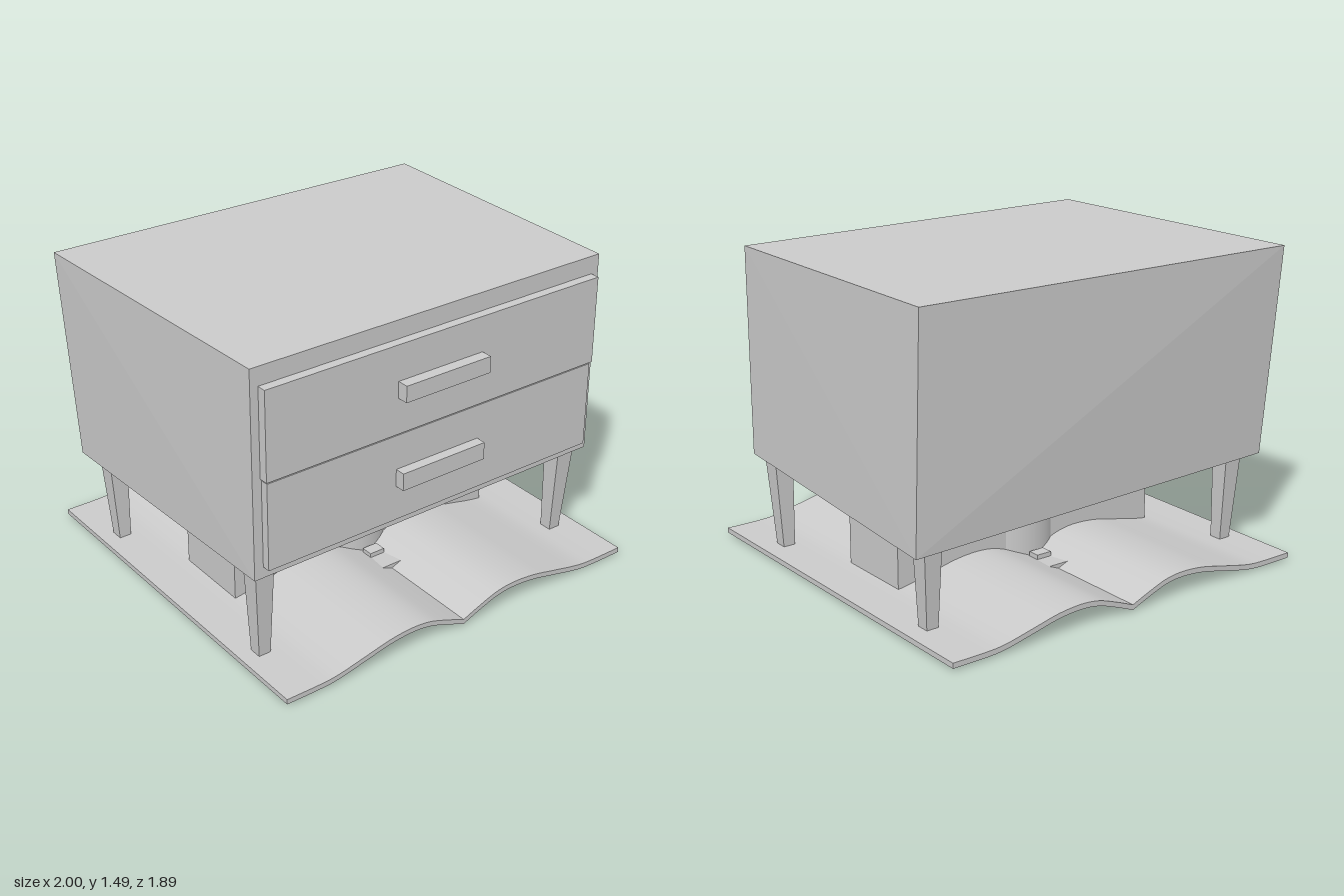
import * as THREE from 'three';
import { toCreasedNormals } from 'three/addons/utils/BufferGeometryUtils.js';
import { ConvexGeometry } from 'three/addons/geometries/ConvexGeometry.js';

const material = new THREE.MeshStandardMaterial({ color: 0xcccccc });

export function createModel() {
  const model = new THREE.Group();
  model.name = 'bedsideCabinet';

  const add = (name, geometry) => {
    const mesh = new THREE.Mesh(geometry, material);
    mesh.name = name;
    model.add(mesh);
    return mesh;
  };

  // Box given by its limits on each axis
  const block = (name, [x0, x1], [y0, y1], [z0, z1]) => {
    const mesh = add(name, new THREE.BoxGeometry(x1 - x0, y1 - y0, z1 - z0));
    mesh.position.set((x0 + x1) / 2, (y0 + y1) / 2, (z0 + z1) / 2);
    return mesh;
  };

  // Flat-sided solid spanned by its corners
  const hull = (name, corners) =>
    add(name, new ConvexGeometry(corners.map((c) => new THREE.Vector3(...c))));

  // Cabinet body, skewed towards the back
  hull('cabinetBody', [
    [-0.945, 0.485, 0.69], [0.96, 0.485, 0.69], [0.96, 1.485, 0.69], [-0.945, 1.485, 0.69],
    [-0.975, 0.47, -0.72], [1.0, 0.415, -0.715], [0.985, 1.485, -0.74], [-1.0, 1.485, -0.795],
  ]);

  // Drawer fronts and handles
  block('upperDrawer', [-0.905, 0.92], [0.97, 1.397], [0.68, 0.735]);
  block('upperHandle', [-0.225, 0.24], [1.145, 1.225], [0.73, 0.79]);
  block('lowerDrawer', [-0.9, 0.91], [0.54, 0.962], [0.68, 0.73]);
  block('lowerHandle', [-0.225, 0.235], [0.71, 0.795], [0.725, 0.78]);

  // Tapered legs with upright inner faces
  for (const sx of [-1, 1]) {
    for (const sz of [-1, 1]) {
      const corners = [];
      for (const [y, x0, x1, z0, z1] of [[0, 0.83, 0.888, 0.563, 0.624], [0.5, 0.823, 0.92, 0.563, 0.658]]) {
        for (const x of [x0, x1]) for (const z of [z0, z1]) corners.push([sx * x, y, sz * z]);
      }
      hull((sz > 0 ? 'front' : 'back') + (sx > 0 ? 'Left' : 'Right') + 'Leg', corners);
    }
  }

  // Pedestal under the cabinet: long block with a round core
  block('pedestalBlock', [-0.73, 0.745], [0, 0.46], [-0.195, 0.2]);
  const core = add('pedestalCore', new THREE.CylinderGeometry(0.237, 0.237, 0.44, 48));
  core.position.set(0.005, 0.24, 0);

  // Cross feet, rising slightly towards their ends, with small stops
  for (const s of [-1, 1]) {
    const corners = [];
    for (const x of [-0.18, 0.19]) {
      corners.push([x, 0, 0], [x, 0.028, 0], [x, 0, s * 0.425], [x, 0.052, s * 0.425]);
    }
    hull(s > 0 ? 'frontCrossFoot' : 'backCrossFoot', corners);
    block(s > 0 ? 'frontStop' : 'backStop', [-0.035, 0.045], [0, 0.068], [s * 0.285 - 0.03, s * 0.285 + 0.03]);
  }

  // Rug: thin sheet with two soft waves meeting in a valley
  const half = [[0.975, 0.035], [0.8, 0.035], [0.7, 0.043], [0.55, 0.075], [0.42, 0.103],
    [0.3, 0.113], [0.2, 0.103], [0.1, 0.07], [0, 0.03]];
  const wave = new THREE.SplineCurve(half.map(([x, y]) => new THREE.Vector2(x, y))).getPoints(32);
  const top = [
    ...wave.map((p) => [0.008 - p.x, p.y]),
    ...wave.slice(0, -1).reverse().map((p) => [0.008 + p.x, p.y]),
  ];
  const thickness = 0.025;
  const section = new THREE.Shape([
    ...top.map(([x, y]) => new THREE.Vector2(x, y - thickness)),
    ...top.slice().reverse().map(([x, y]) => new THREE.Vector2(x, y)),
  ]);
  const rug = new THREE.ExtrudeGeometry(section, { depth: 1.89, bevelEnabled: false });
  rug.translate(0, 0, -0.945);
  add('rug', toCreasedNormals(rug, 0.5));

  return model;
}
